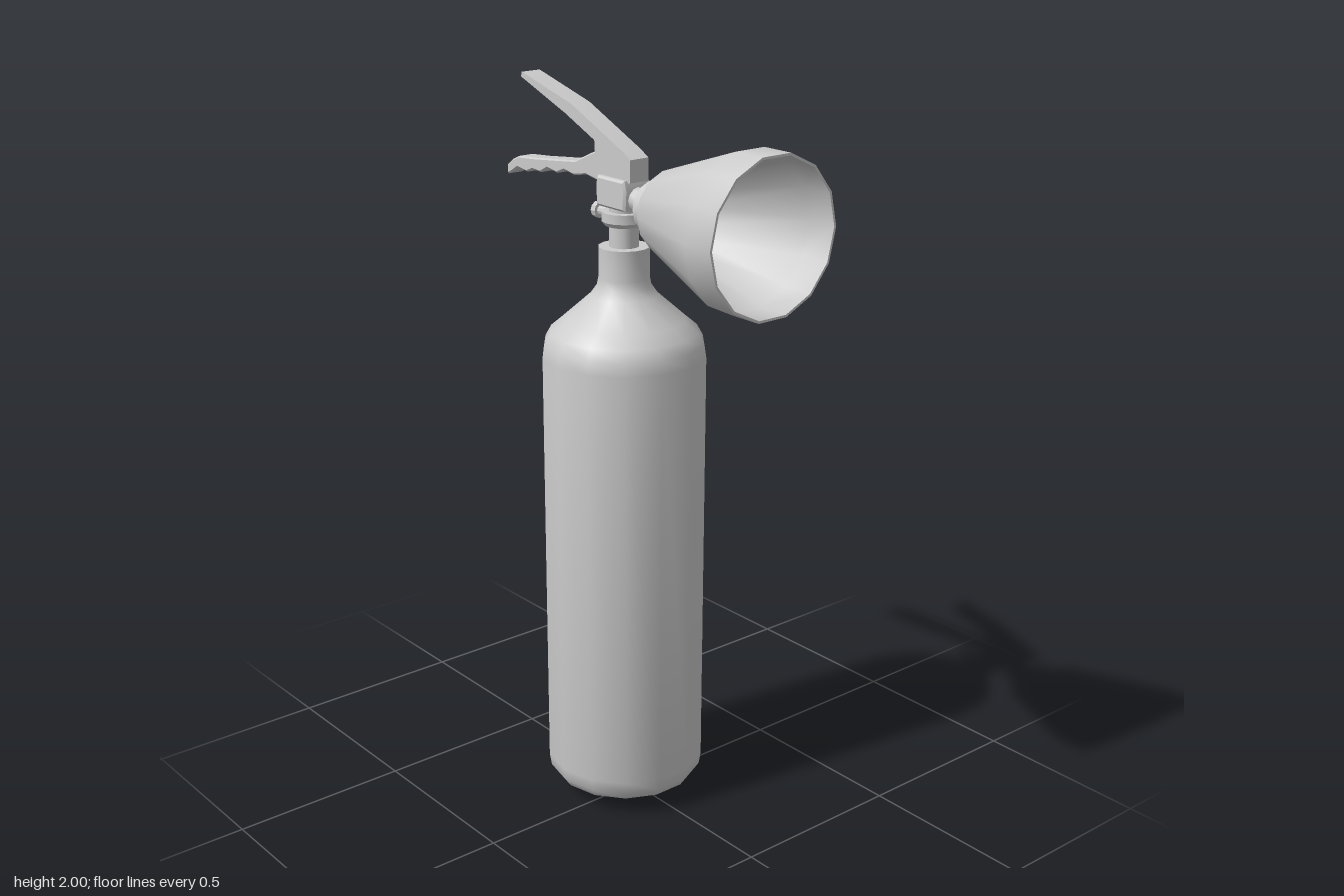
import * as THREE from 'three';
import { toCreasedNormals } from 'three/addons/utils/BufferGeometryUtils.js';

const grey = new THREE.MeshStandardMaterial({ color: 0xcccccc });
const AXIS_Z = -0.042; // centre line of the tank and valve
const HORN_Y = 1.717; // centre line of the horn

const vectors = (pts) => pts.map(([a, b]) => new THREE.Vector2(a, b));

// Turned part, profile given as [radius, height]
function turned(profile, sides = 14) {
  const geo = new THREE.LatheGeometry(vectors(profile), sides, Math.PI / 2);
  return toCreasedNormals(geo, 0.62);
}

// Side outline given as [z, y], extruded across x and centred on cx
function sidePlate(outline, width, cx = 0, bevel = 0) {
  const geo = new THREE.ExtrudeGeometry(new THREE.Shape(vectors(outline)), {
    depth: width - 2 * bevel,
    bevelEnabled: bevel > 0,
    bevelSize: bevel,
    bevelThickness: bevel,
    bevelOffset: -bevel,
    bevelSegments: 1,
  });
  geo.translate(0, 0, -width / 2 + bevel);
  geo.rotateY(-Math.PI / 2);
  geo.translate(cx, 0, 0);
  return toCreasedNormals(geo, 0.5);
}

export function createModel() {
  const model = new THREE.Group();
  model.name = 'fireExtinguisher';
  const add = (name, geo, x = 0, y = 0, z = 0) => {
    const mesh = new THREE.Mesh(geo, grey);
    mesh.name = name;
    mesh.position.set(x, y, z);
    model.add(mesh);
    return mesh;
  };

  // Pressure tank with domed base, shoulder and neck
  add('tank', turned([
    [0, 0], [0.09, 0.008], [0.155, 0.025], [0.2, 0.05], [0.217, 0.075], [0.2225, 0.11],
    [0.2225, 1.3], [0.217, 1.335], [0.2, 1.365], [0.165, 1.395], [0.09, 1.462],
    [0.074, 1.485], [0.069, 1.51], [0.069, 1.592], [0, 1.592],
  ]), 0, 0, AXIS_Z);

  // Valve stem, collar and block
  add('valveStem', turned([[0.04, 1.58], [0.04, 1.7]]), 0, 0, AXIS_Z);
  add('valveCollar', turned([
    [0, 1.648], [0.05, 1.648], [0.06, 1.66], [0.06, 1.685], [0, 1.685],
  ]), 0, 0, AXIS_Z);
  add('valveBlock', sidePlate([
    [0.008, 1.775], [0.016, 1.75], [0.012, 1.695], [-0.104, 1.695], [-0.106, 1.755], [-0.1, 1.775],
  ], 0.09, 0, 0.006));

  // Screw at the back of the collar
  const screw = turned([
    [0, -0.155], [0.022, -0.155], [0.022, -0.138], [0.014, -0.138], [0.014, -0.09],
  ].map(([r, z]) => [r, z]), 10);
  screw.rotateX(Math.PI / 2);
  add('screw', screw, 0, 1.67, 0);

  // Elbow joint between valve and horn
  const elbow = new THREE.CatmullRomCurve3([
    new THREE.Vector3(0, 1.715, -0.03),
    new THREE.Vector3(0, 1.725, 0.01),
    new THREE.Vector3(0, HORN_Y, 0.045),
    new THREE.Vector3(0, HORN_Y, 0.08),
  ]);
  add('elbow', new THREE.TubeGeometry(elbow, 8, 0.032, 12));
  const nut = turned([[0, 0.033], [0.03, 0.033], [0.037, 0.04], [0.037, 0.075]]);
  nut.rotateX(Math.PI / 2);
  add('elbowNut', nut, 0, HORN_Y, 0);

  // Horn collar and hollow horn
  const collar = turned([[0, 0.07], [0.062, 0.07], [0.07, 0.078], [0.07, 0.14]]);
  collar.rotateX(Math.PI / 2);
  add('hornCollar', collar, 0, HORN_Y, 0);
  const horn = turned([
    [0, 0.132], [0.1, 0.132], [0.107, 0.14], [0.2055, 0.433], [0.2055, 0.525],
    [0.199, 0.525], [0.199, 0.435], [0.1, 0.15], [0, 0.15],
  ]);
  horn.rotateX(Math.PI / 2);
  add('horn', horn, 0, HORN_Y, 0);

  // Upper lever: a channel, open underneath
  const top = [[0.02, 1.83], [-0.01, 1.847], [-0.222, 1.94], [-0.44, 1.998]];
  const lever = [
    [0.02, 1.77], ...top,
    [-0.444, 1.985], [-0.25, 1.913], [-0.127, 1.86], [-0.125, 1.833], [-0.11, 1.77],
  ];
  for (const side of [-1, 1]) {
    add(side > 0 ? 'leverLeftFlange' : 'leverRightFlange', sidePlate(lever, 0.007, side * 0.0265));
  }
  const under = top.map(([z, y]) => [z - 0.002, y - 0.011]).reverse();
  add('leverTop', sidePlate([...top, ...under], 0.05));
  add('leverFront', sidePlate([[0.02, 1.77], [0.02, 1.83], [0.008, 1.83], [0.008, 1.77]], 0.05));

  // Lower carrying handle with finger grips
  add('carryHandle', sidePlate([
    [0.01, 1.78], [-0.1, 1.838], [-0.125, 1.833], [-0.217, 1.792], [-0.39, 1.772], [-0.47, 1.765],
    [-0.5, 1.752], [-0.525, 1.733], [-0.522, 1.708], [-0.5, 1.718], [-0.476, 1.733],
    [-0.434, 1.727], [-0.407, 1.738], [-0.37, 1.736], [-0.34, 1.752], [-0.296, 1.746],
    [-0.265, 1.759], [-0.222, 1.752], [-0.17, 1.762], [-0.11, 1.752], [0.01, 1.768],
  ], 0.052, 0, 0.004));

  return model;
}
